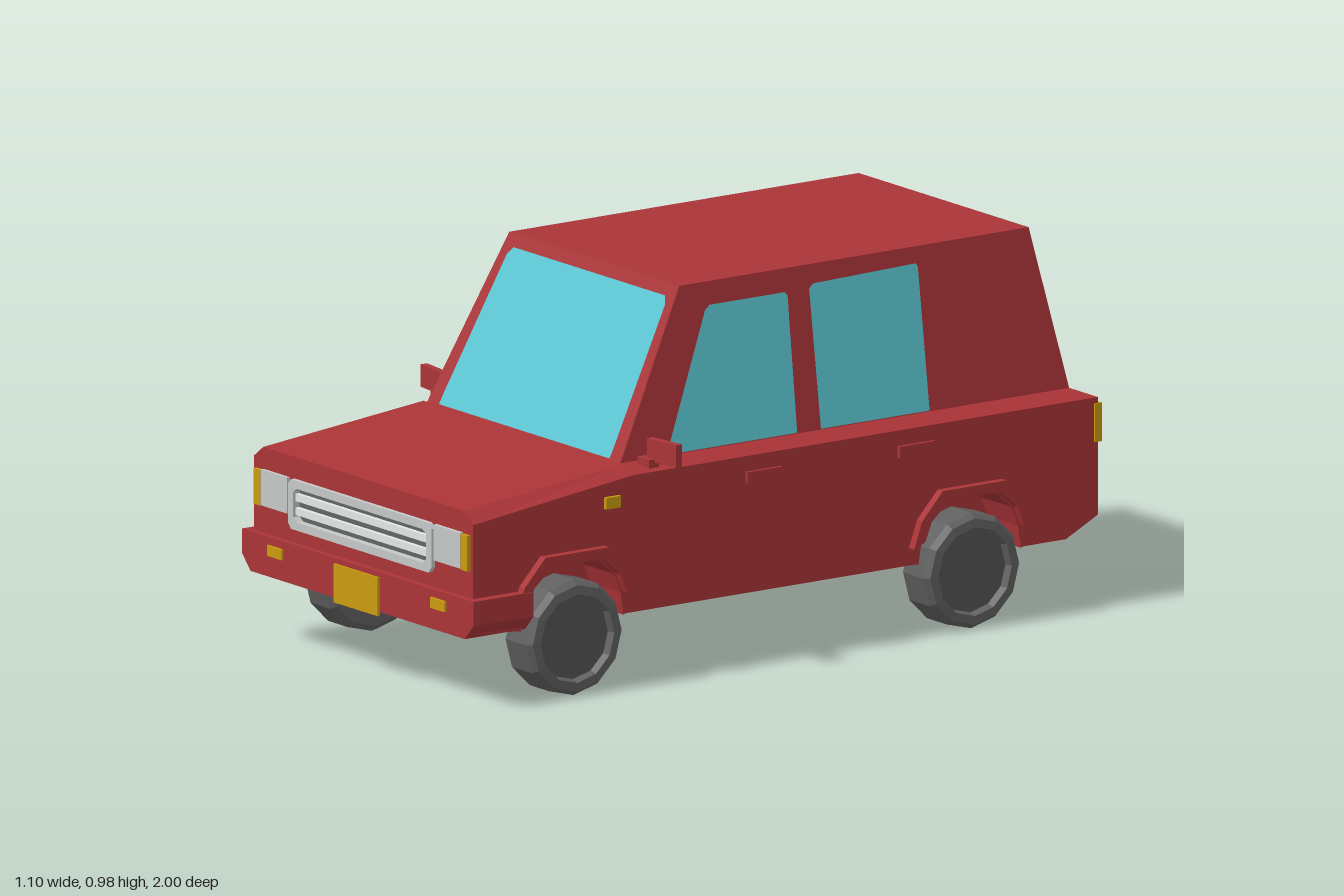
import * as THREE from 'three';

const paint = (color) => new THREE.MeshStandardMaterial({ color, flatShading: true, side: THREE.DoubleSide });

export function createModel() {
  const car = new THREE.Group();
  car.name = 'car';
  const mats = {
    red: paint(0xaa3437), glass: paint(0x5bc6d2), amber: paint(0xc99a10), silver: paint(0xc6c8c8),
    bar: paint(0xe2e6e4), dark: paint(0x636665), tyre: paint(0x606060), hub: paint(0x545454),
  };
  for (const k in mats) mats[k].name = k;

  const add = (name, geo, mat, x = 0, y = 0, z = 0) => {
    const m = new THREE.Mesh(geo, mats[mat]);
    m.name = name;
    m.position.set(x, y, z);
    car.add(m);
    return m;
  };
  const box = (name, mat, w, h, d, x, y, z) => add(name, new THREE.BoxGeometry(w, h, d), mat, x, y, z);
  const shapeOf = (pts, holes = []) => {
    const s = new THREE.Shape(pts.map((p) => new THREE.Vector2(...p)));
    s.holes = holes.map((h) => new THREE.Path(h.map((p) => new THREE.Vector2(...p))));
    return s;
  };
  // flat sheet drawn in 2D, then placed in space by a rule
  const sheet = (name, mat, pts, place, holes) => {
    const g = new THREE.ShapeGeometry(shapeOf(pts, holes));
    const p = g.attributes.position;
    for (let i = 0; i < p.count; i++) p.setXYZ(i, ...place(p.getX(i), p.getY(i)));
    g.computeVertexNormals();
    return add(name, g, mat);
  };
  const quad = (name, mat, a, b, c, d) => {
    const g = new THREE.BufferGeometry().setFromPoints([a, b, c, a, c, d].map((p) => new THREE.Vector3(...p)));
    g.computeVertexNormals();
    return add(name, g, mat);
  };
  const extrude = (name, mat, pts, depth, z, holes) =>
    add(name, new THREE.ExtrudeGeometry(shapeOf(pts, holes), { depth, bevelEnabled: false }), mat, 0, 0, z);
  // profile in (z, y), extruded inwards from the outer x on either side
  const sideExtrude = (name, mat, pts, depth, outer, s) => {
    const g = new THREE.ExtrudeGeometry(shapeOf(pts), { depth, bevelEnabled: false }).rotateY(-Math.PI / 2);
    return add(name, g, mat, s > 0 ? outer : depth - outer);
  };
  const mirrorX = (pts) => [...pts, ...pts.map(([x, y]) => [-x, y]).reverse()];

  const axles = [-0.57, 0.67];
  const W = 0.47, C = 0.415, R = 0.365, BELT = 0.565, ROOF = 0.985;
  const rise = (y) => (y - BELT) / (ROOF - BELT);
  const archIn = [[-0.165, 0.19], [-0.155, 0.25], [-0.135, 0.3], [-0.08, 0.348], [0.08, 0.348], [0.135, 0.3], [0.155, 0.25], [0.165, 0.19]];
  const archOut = [[-0.19, 0.235], [-0.165, 0.305], [-0.1, 0.375], [0.1, 0.375], [0.165, 0.305], [0.19, 0.235]];
  const shift = (pts, dz) => pts.map(([z, y]) => [z + dz, y]);

  // side windows in (z, y)
  const frontWindow = [[0.335, 0.567], [0.185, 0.915], [0.17, 0.925], [-0.063, 0.925], [-0.072, 0.915], [-0.072, 0.567]];
  const rearWindow = [[-0.146, 0.567], [-0.14, 0.925], [-0.155, 0.935], [-0.475, 0.942], [-0.48, 0.93], [-0.485, 0.567]];

  for (const s of [1, -1]) {
    const side = s > 0 ? 'left' : 'right';
    // lower body side with wheel openings
    const outline = [[0.98, 0.2], [0.98, 0.485], [0.48, 0.545], [-0.97, 0.545], [-0.97, 0.24], [-0.87, 0.19],
      ...shift(archIn, axles[0]), ...shift(archIn, axles[1])];
    sheet(side + 'BodySide', 'red', outline, (z, y) => [s * W, y, z]);
    // bevels along bonnet and beltline
    quad(side + 'BonnetEdge', 'red', [s * W, 0.485, 0.98], [s * W, 0.545, 0.48], [s * 0.43, BELT, 0.48], [s * 0.43, 0.515, 0.98]);
    quad(side + 'Shoulder', 'red', [s * W, 0.545, 0.48], [s * W, 0.545, -0.97], [s * C, BELT, -0.92], [s * C, BELT, 0.48]);
    // cabin side and glass share one tilted plane
    const tilt = (z, y) => [s * (C + (R - C) * rise(y)), y, z];
    sheet(side + 'CabinSide', 'red', [[0.48, BELT], [0.26, ROOF], [-0.83, ROOF], [-0.92, BELT]], tilt, [frontWindow, rearWindow]);
    sheet(side + 'FrontDoorGlass', 'glass', frontWindow, tilt);
    sheet(side + 'RearDoorGlass', 'glass', rearWindow, tilt);

    for (const z of axles) {
      const end = z > 0 ? 'Front' : 'Rear';
      // arch flare running inwards as the wheel well, closed on the inside
      sideExtrude(side + end + 'Arch', 'red', shift([...archOut, ...archIn.slice(1, -1).reverse()], z), 0.025, 0.493, s);
      const inner = archIn.map(([a, y]) => [a * 0.97, y - 0.003]);
      sideExtrude(side + end + 'WheelWell', 'red', shift([...archIn, ...inner.reverse()], z), 0.13, W, s);
      sheet(side + end + 'WellWall', 'red', shift(archIn, z), (a, y) => [s * 0.34, y, a]);
      // wheel
      const tyre = [[0, -0.06], [0.135, -0.06], [0.15, -0.045], [0.15, 0.04], [0.138, 0.056], [0.115, 0.058], [0.108, 0.035]];
      const wheel = add(side + end + 'Tyre', new THREE.LatheGeometry(tyre.map((p) => new THREE.Vector2(...p)), 12), 'tyre', s * 0.435, 0.152, z);
      wheel.rotation.z = -s * Math.PI / 2;
      const hub = add(side + end + 'Hub', new THREE.CylinderGeometry(0.109, 0.109, 0.01, 12), 'hub', s * 0.468, 0.152, z);
      hub.rotation.z = -s * Math.PI / 2;
    }

    // trim on the sides
    for (const z of [0.075, -0.4]) box(side + 'DoorHandle', 'red', 0.014, 0.03, 0.11, s * 0.473, 0.49, z);
    box(side + 'SideMarker', 'amber', 0.012, 0.03, 0.045, s * 0.475, 0.485, 0.548);
    const mirror = box(side + 'Mirror', 'red', 0.108, 0.058, 0.02, s * 0.494, 0.597, 0.4);
    mirror.rotation.y = s * 0.12;
    box(side + 'MirrorStalk', 'red', 0.05, 0.022, 0.03, s * 0.445, 0.566, 0.415);

    // lamps
    box(side + 'Headlamp', 'silver', 0.113, 0.093, 0.03, s * 0.372, 0.412, 0.975);
    box(side + 'FrontIndicator', 'amber', 0.028, 0.093, 0.032, s * 0.445, 0.41, 0.974);
    box(side + 'FogLamp', 'amber', 0.064, 0.028, 0.008, s * 0.35, 0.259, 1.0);
    box(side + 'TailPanel', 'red', 0.13, 0.1, 0.014, s * 0.365, 0.48, -0.971);
    box(side + 'RearIndicator', 'amber', 0.024, 0.1, 0.022, s * 0.462, 0.48, -0.969);

    // bumper end wrapping back to the wheel arch
    extrude(side + 'BumperEnd', 'red', [[0.46, 0.19], [0.497, 0.23], [0.497, 0.293], [0.46, 0.293]].map(([x, y]) => [s * x, y]), 0.135, 0.81);
  }

  // bonnet, roof and rear ledge
  quad('bonnet', 'red', [-0.43, 0.515, 0.98], [0.43, 0.515, 0.98], [0.43, BELT, 0.48], [-0.43, BELT, 0.48]);
  quad('roof', 'red', [-R, ROOF, 0.26], [R, ROOF, 0.26], [R, ROOF, -0.83], [-R, ROOF, -0.83]);
  quad('rearLedge', 'red', [C, BELT, -0.92], [-C, BELT, -0.92], [-W, 0.545, -0.97], [W, 0.545, -0.97]);
  quad('tailgate', 'red', [W, 0.24, -0.97], [-W, 0.24, -0.97], [-W, 0.545, -0.97], [W, 0.545, -0.97]);
  quad('rearValance', 'red', [W, 0.19, -0.87], [-W, 0.19, -0.87], [-W, 0.24, -0.97], [W, 0.24, -0.97]);

  // windscreen and rear window set in tilted frames
  const cabinEnd = mirrorX([[C, BELT], [R, ROOF]]);
  const screen = mirrorX([[0.366, 0.568], [0.366, 0.59], [0.34, 0.935], [0.325, 0.955]]);
  const backlight = mirrorX([[0.365, 0.58], [0.368, 0.595], [0.335, 0.905], [0.325, 0.92]]);
  const frontTilt = (x, y) => [x, y, 0.48 - 0.22 * rise(y)];
  const rearTilt = (x, y) => [x, y, -0.92 + 0.09 * rise(y)];
  sheet('windscreenFrame', 'red', cabinEnd, frontTilt, [screen]);
  sheet('windscreen', 'glass', screen, frontTilt);
  sheet('rearWindowFrame', 'red', cabinEnd, rearTilt, [backlight]);
  sheet('rearWindow', 'glass', backlight, rearTilt);

  // nose panel and grille
  const grilleOuter = mirrorX([[0.295, 0.33], [0.308, 0.345], [0.308, 0.445], [0.295, 0.459]]);
  const grilleInner = mirrorX([[0.27, 0.351], [0.285, 0.362], [0.285, 0.428], [0.27, 0.438]]);
  sheet('nosePanel', 'red', mirrorX([[W, 0.2], [W, 0.485], [0.43, 0.515]]), (x, y) => [x, y, 0.98], [grilleInner]);
  extrude('grilleFrame', 'silver', grilleOuter, 0.025, 0.967, [grilleInner]);
  sheet('grilleBack', 'dark', grilleInner, (x, y) => [x, y, 0.972]);
  for (const y of [0.413, 0.377]) box('grilleBar', 'bar', 0.568, 0.019, 0.012, 0, y, 0.98);

  // bumper and number plates
  extrude('frontBumper', 'red', mirrorX([[0.46, 0.19], [0.497, 0.23], [0.497, 0.293]]), 0.065, 0.933);
  box('frontPlate', 'amber', 0.19, 0.1, 0.008, 0, 0.23, 1.001);
  box('rearPlate', 'amber', 0.19, 0.1, 0.009, 0, 0.23, -0.993);
  return car;
}
